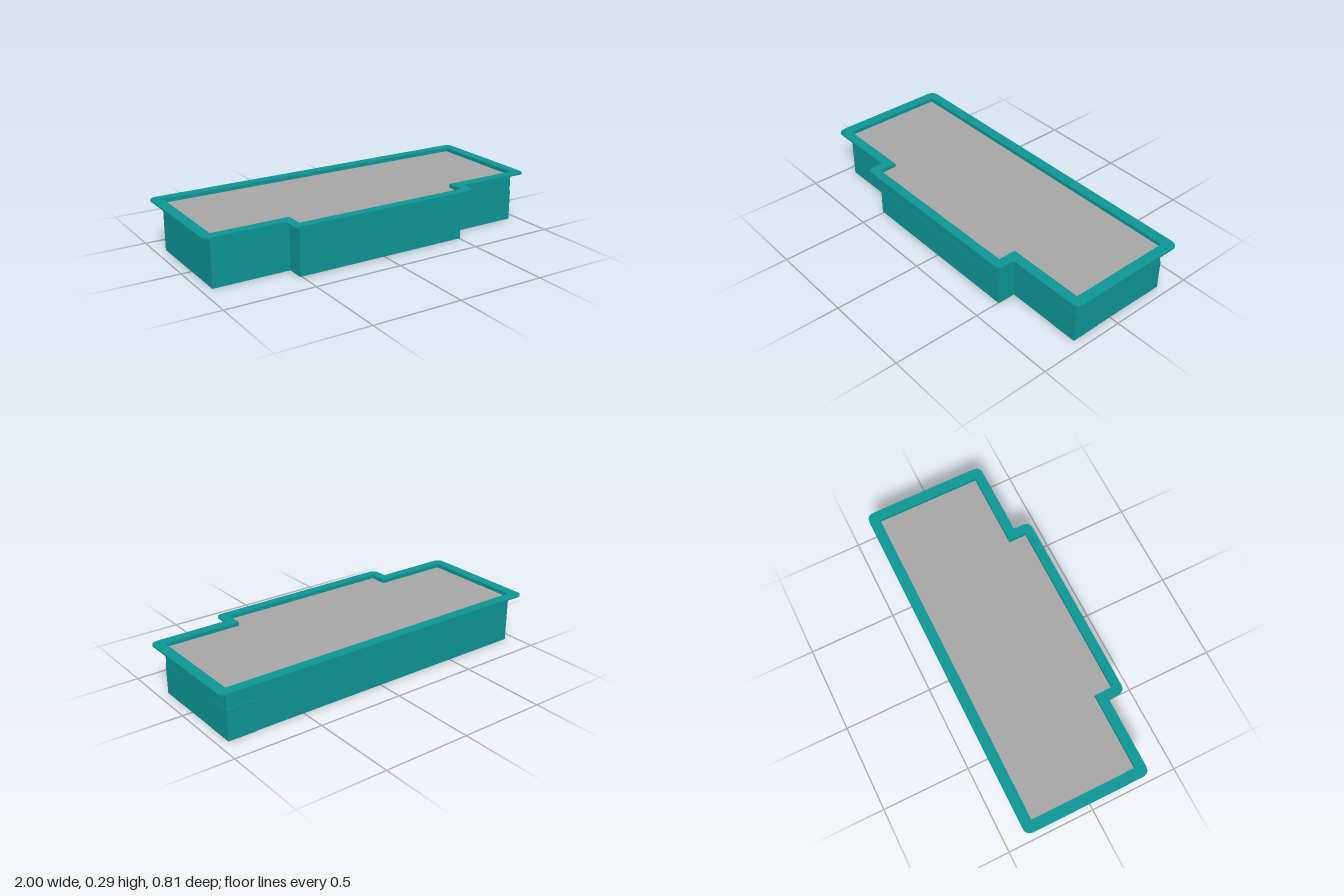
import * as THREE from 'three';

// T-shaped plan outline (shape y becomes model z), with optional rounded outer corners
function plan(x, back, side, front, bumpL, bumpR, r = 0) {
  const pts = [[-x, back, 1], [x, back, 1], [x, side, 1], [bumpR, side, 0],
    [bumpR, front, 1], [bumpL, front, 1], [bumpL, side, 0], [-x, side, 1]];
  const s = new THREE.Shape();
  pts.forEach(([px, pz, convex], i) => {
    const p = new THREE.Vector2(px, pz);
    const toward = (q) => {
      const d = new THREE.Vector2(q[0], q[1]).sub(p);
      return d.setLength(convex ? r : 0).add(p);
    };
    const a = toward(pts[(i + 7) % 8]);
    const b = toward(pts[(i + 1) % 8]);
    if (i === 0) s.moveTo(a.x, a.y); else s.lineTo(a.x, a.y);
    if (convex && r > 0) s.quadraticCurveTo(px, pz, b.x, b.y);
  });
  s.closePath();
  return s;
}

// Extrudes a plan vertically between two heights
function slab(shape, y0, y1) {
  const g = new THREE.ExtrudeGeometry(shape, { depth: y1 - y0, bevelEnabled: false, curveSegments: 6 });
  return g.rotateX(Math.PI / 2).translate(0, y1, 0);
}

export function createModel() {
  const group = new THREE.Group();
  const teal = new THREE.MeshStandardMaterial({ color: 0x0e9595 });
  teal.name = 'teal shell';
  const grey = new THREE.MeshStandardMaterial({ color: 0xa6a6a6 });
  grey.name = 'grey surface';

  const add = (name, geometry, material) => {
    const m = new THREE.Mesh(geometry, material);
    m.name = name;
    group.add(m);
    return m;
  };
  const outer = () => plan(0.943, -0.348, 0.253, 0.354, -0.51, 0.503);
  const inner = () => plan(0.94, -0.345, 0.25, 0.351, -0.507, 0.5);

  // Thin walls standing on a floor
  const wallPlan = outer();
  wallPlan.holes.push(inner());
  add('walls', slab(wallPlan, 0, 0.281), teal);
  add('floor', slab(inner(), 0, 0.004), teal);

  // Flat surface just below the rim
  add('surface', slab(inner(), 0.262, 0.268), grey);

  // Overhanging rim with rounded outer corners
  const rimPlan = plan(1, -0.404, 0.306, 0.403, -0.56, 0.555, 0.045);
  rimPlan.holes.push(inner());
  add('rim', slab(rimPlan, 0.28, 0.289), teal);

  // Corner steps and front bench, standing slightly proud of the walls
  const step = (name, x0, x1, z0, z1) => add(name,
    new THREE.BoxGeometry(x1 - x0, 0.174, z1 - z0).translate((x0 + x1) / 2, 0.088, (z0 + z1) / 2), teal);
  step('backStep', 0.785, 0.945, -0.353, -0.192);
  step('frontStep', 0.785, 0.945, 0.095, 0.255);
  step('frontBench', -0.51, 0.503, 0.255, 0.356);
  return group;
}
